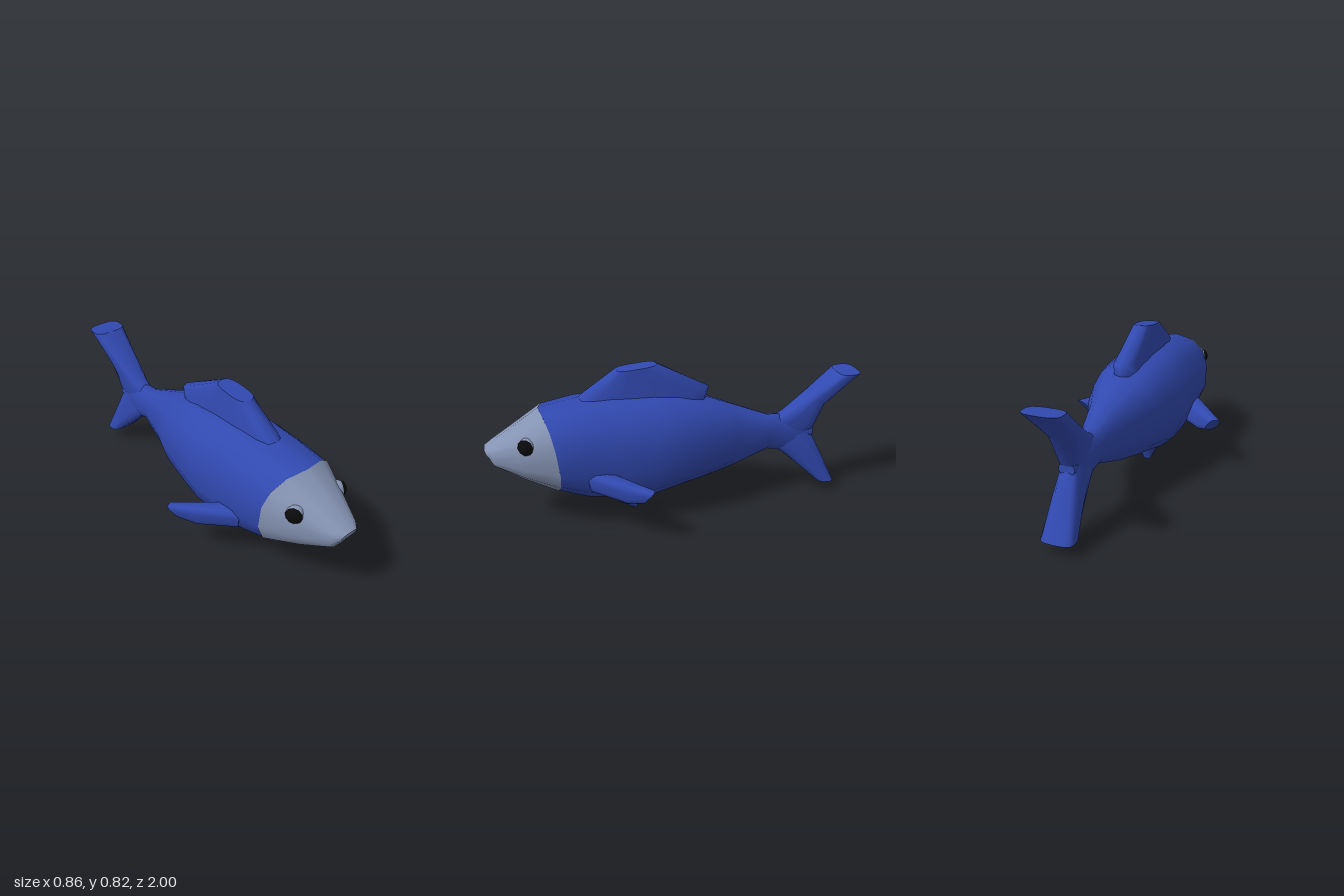
import * as THREE from 'three';

const SIDES = 14;

// Lofts rounded rings. Each ring: [a, b, w, bow], where a and b are opposite
// points, w is the half-width vector and bow shifts the flanks along z.
function loft(rings, power) {
  const pos = [], idx = [];
  const bend = (v) => Math.sign(v) * Math.pow(Math.abs(v), power);
  const addRing = ([a, b, w, bow = 0]) => {
    const c = a.clone().add(b).multiplyScalar(0.5);
    const h = a.clone().sub(c);
    const start = pos.length / 3;
    for (let k = 0; k < SIDES; k++) {
      const t = (k / SIDES) * Math.PI * 2;
      const s = Math.abs(Math.sin(t)) < 1e-6 ? 0 : Math.sin(t);
      const p = c.clone().addScaledVector(h, bend(Math.cos(t))).addScaledVector(w, bend(s));
      pos.push(p.x, p.y, p.z + bow * Math.abs(s));
    }
    return start;
  };
  const starts = rings.map(addRing);
  for (let i = 0; i + 1 < starts.length; i++) {
    for (let k = 0; k < SIDES; k++) {
      const n = (k + 1) % SIDES;
      const p = starts[i], q = starts[i + 1];
      idx.push(p + k, p + n, q + k, p + n, q + n, q + k);
    }
  }
  // End caps with their own vertices, so the rims stay crisp
  [rings[0], rings[rings.length - 1]].forEach((ring, end) => {
    const s = addRing(ring);
    const c = ring[0].clone().add(ring[1]).multiplyScalar(0.5);
    const m = pos.length / 3;
    pos.push(c.x, c.y, c.z + (ring[3] || 0) * 0.6);
    for (let k = 0; k < SIDES; k++) {
      const n = (k + 1) % SIDES;
      if (end) idx.push(m, s + k, s + n);
      else idx.push(m, s + n, s + k);
    }
  });
  const g = new THREE.BufferGeometry();
  g.setAttribute('position', new THREE.Float32BufferAttribute(pos, 3));
  g.setIndex(idx);
  g.computeVertexNormals();
  return g;
}

// Rings on the centre plane: [z1, y1, z2, y2, halfWidth, bow]
const midRings = (list) => list.map(([z1, y1, z2, y2, hw, bow]) => [
  new THREE.Vector3(0, y1, z1), new THREE.Vector3(0, y2, z2), new THREE.Vector3(hw, 0, 0), bow]);

export function createModel() {
  const blue = new THREE.MeshStandardMaterial({ color: 0x3149b0 });
  blue.name = 'scaleBlue';
  const grey = new THREE.MeshStandardMaterial({ color: 0x8593b3 });
  grey.name = 'headGrey';
  const black = new THREE.MeshStandardMaterial({ color: 0x0a0a0a });
  black.name = 'pupilBlack';

  const model = new THREE.Group();
  model.name = 'fish';
  const add = (name, geometry, material, parent = model) => {
    const mesh = new THREE.Mesh(geometry, material);
    mesh.name = name;
    parent.add(mesh);
    return mesh;
  };

  // Head, from the snout back to the gill line
  const gill = [0.72, 0.635, 0.67, 0.195, 0.225, -0.05];
  add('head', loft(midRings([
    [1.0, 0.45, 0.985, 0.405, 0.05],
    [0.96, 0.475, 0.955, 0.35, 0.088],
    [0.86, 0.54, 0.83, 0.275, 0.15, -0.02],
    gill,
  ]), 0.8), grey);

  // Body, from the gill line to the root of the tail
  add('body', loft(midRings([
    gill,
    [0.55, 0.67, 0.5, 0.135, 0.23, -0.02],
    [0.35, 0.685, 0.3, 0.11, 0.235],
    [0.13, 0.68, 0.15, 0.112, 0.24],
    [0.0, 0.665, 0.0, 0.15, 0.218],
    [-0.14, 0.625, -0.14, 0.182, 0.19],
    [-0.3, 0.565, -0.3, 0.215, 0.12],
    [-0.5, 0.485, -0.5, 0.285, 0.065],
    [-0.6, 0.48, -0.6, 0.26, 0.055],
    [-0.76, 0.4, -0.76, 0.34, 0.04],
  ]), 0.86), blue);

  // Forked tail
  add('upperTailLobe', loft(midRings([
    [-0.52, 0.46, -0.7, 0.34, 0.045],
    [-0.59, 0.49, -0.765, 0.39, 0.055],
    [-0.73, 0.592, -0.81, 0.53, 0.072],
    [-0.88, 0.705, -1.0, 0.71, 0.095],
  ]), 0.62), blue);
  add('lowerTailLobe', loft(midRings([
    [-0.7, 0.42, -0.52, 0.31, 0.045],
    [-0.76, 0.36, -0.6, 0.25, 0.055],
    [-0.815, 0.25, -0.71, 0.15, 0.068],
    [-0.905, 0.065, -0.8, 0.07, 0.085],
  ]), 0.62), blue);

  // Fins on the back and belly
  add('dorsalFin', loft(midRings([
    [0.56, 0.62, -0.15, 0.6, 0.075],
    [0.5, 0.69, -0.17, 0.68, 0.066],
    [0.32, 0.805, 0.11, 0.825, 0.052],
  ]), 0.65), blue);
  add('bellyFin', loft(midRings([
    [0.16, 0.15, 0.47, 0.15, 0.075],
    [0.2, 0.08, 0.37, 0.085, 0.055],
    [0.23, 0.004, 0.27, 0.02, 0.022],
  ]), 0.65), blue);

  // Side fins
  const V = (x, y, z) => new THREE.Vector3(x, y, z);
  const sideFin = loft([
    [V(0.17, 0.345, 0.47), V(0.16, 0.22, 0.45), V(0.05, 0, 0.04)],
    [V(0.25, 0.335, 0.39), V(0.24, 0.215, 0.37), V(0.042, 0, 0.034)],
    [V(0.33, 0.325, 0.3), V(0.305, 0.21, 0.31), V(0.034, 0, 0.026)],
    [V(0.415, 0.315, 0.205), V(0.36, 0.235, 0.25), V(0.028, 0, 0.012)],
  ], 0.65);

  // Eyeball with a dark cap turned outward and forward
  const ball = new THREE.SphereGeometry(0.045, 12, 8);
  const cap = new THREE.SphereGeometry(0.048, 10, 4, 0, Math.PI * 2, 0, Math.PI * 0.34);
  const gaze = new THREE.Vector3(0.86, 0.08, 0.45).normalize();

  for (const side of [1, -1]) {
    const half = new THREE.Group();
    half.name = side > 0 ? 'leftSide' : 'rightSide';
    half.scale.x = side;
    model.add(half);
    add('sideFin', sideFin, blue, half);
    add('eyeball', ball, grey, half).position.set(0.135, 0.49, 0.785);
    const pupil = add('pupil', cap, black, half);
    pupil.position.set(0.135, 0.49, 0.785);
    pupil.quaternion.setFromUnitVectors(new THREE.Vector3(0, 1, 0), gaze);
  }
  return model;
}
